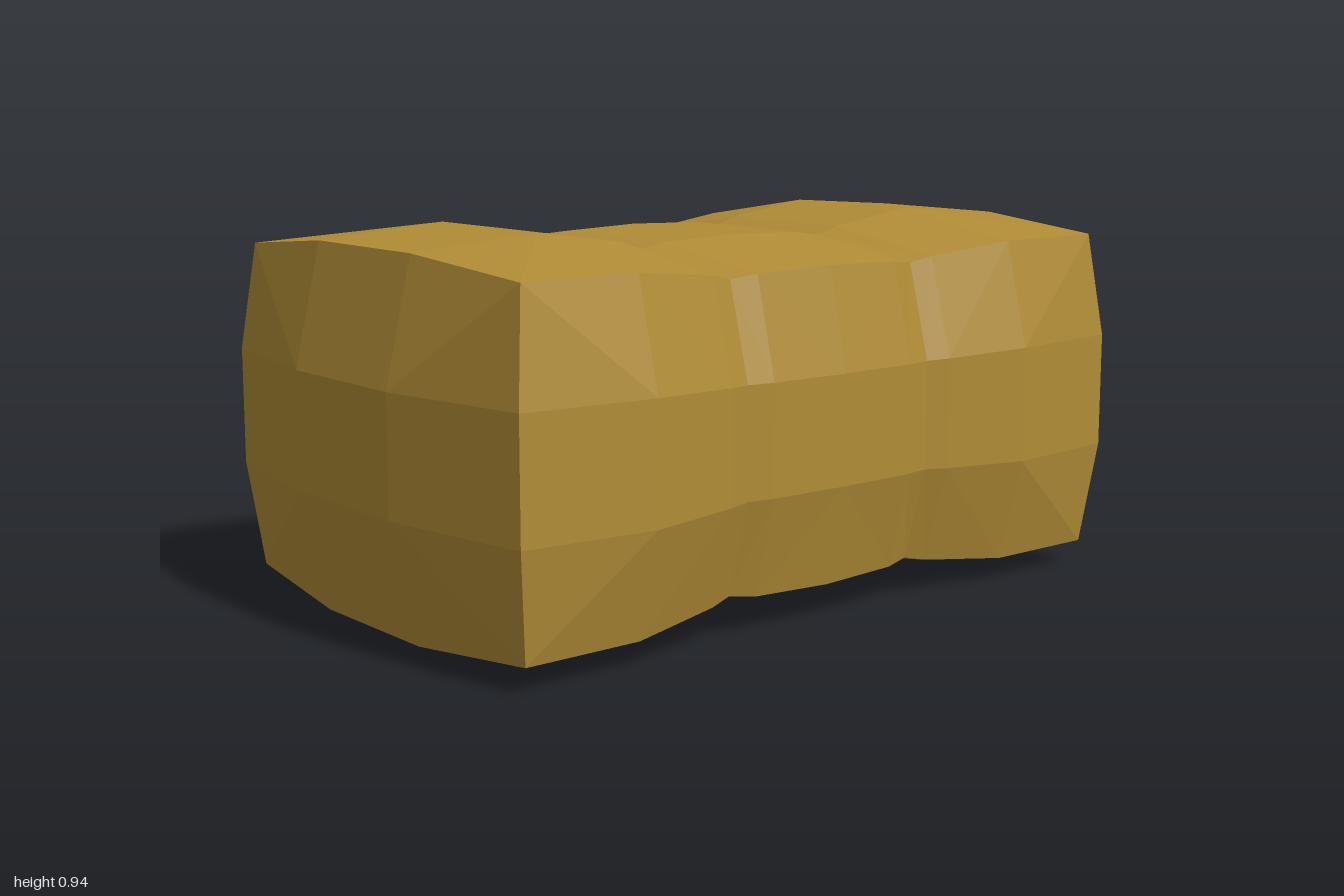
import * as THREE from 'three';

const MID_Y = 0.47; // height of the long axis
const RIB_X = 0.2;  // half width of the flat middle strip

// Half-body stations: corner z, middle z, corner x/y, bulged side x, bulged top y, side strip half height
const STATIONS = [
  [0.90, 0.93, 0.575, 0.41, 0.607, 0.444, 0.145],
  [0.59, 0.59, 0.573, 0.41, 0.64, 0.47, 0.145],
  [0.35, 0.35, 0.538, 0.383, 0.606, 0.435, 0.137],
  [0.29, 0.29, 0.525, 0.37, 0.588, 0.415, 0.135],
  [0.22, 0.22, 0.54, 0.379, 0.6, 0.427, 0.135],
  [0, 0, 0.548, 0.385, 0.606, 0.434, 0.135],
];

// Twelve-point bulged rectangle, counter-clockwise seen from +z
function ring([zc, zm, cx, cy, sx, ty, m], side) {
  const outline = [
    [cx, cy], [RIB_X, ty], [-RIB_X, ty],
    [-cx, cy], [-sx, m], [-sx, -m],
    [-cx, -cy], [-RIB_X, -ty], [RIB_X, -ty],
    [cx, -cy], [sx, -m], [sx, m],
  ];
  return outline.map(([x, y], j) => [x, y + MID_Y, side * (j % 3 === 0 ? zc : zm)]);
}

// Two triangles; splitAC chooses the diagonal
function quad(out, a, b, c, d, splitAC) {
  const tris = splitAC ? [a, b, c, a, c, d] : [a, b, d, b, c, d];
  for (const p of tris) out.push(...p);
}

function toMesh(positions, name, material) {
  const geometry = new THREE.BufferGeometry();
  geometry.setAttribute('position', new THREE.Float32BufferAttribute(positions, 3));
  geometry.computeVertexNormals();
  const mesh = new THREE.Mesh(geometry, material);
  mesh.name = name;
  return mesh;
}

export function createModel() {
  const group = new THREE.Group();
  group.name = 'waistedBlock';
  const material = new THREE.MeshStandardMaterial({ color: 0xb08c36, flatShading: true });

  // Body walls, with two grooves around the middle section
  const rings = [
    ...STATIONS.map((s) => ring(s, 1)),
    ...STATIONS.slice(0, -1).reverse().map((s) => ring(s, -1)),
  ];
  const walls = [];
  for (let i = 0; i < rings.length - 1; i++) {
    const front = i < STATIONS.length - 1;
    for (let j = 0; j < 12; j++) {
      const k = (j + 1) % 12;
      // diagonals run from the block's corners towards the strips
      quad(walls, rings[i][j], rings[i + 1][j], rings[i + 1][k], rings[i][k], (j % 3 === 0) === front);
    }
  }
  group.add(toMesh(walls, 'body', material));

  // Domed end caps: a 3 x 3 grid of faces inside the end ring
  for (const side of [1, -1]) {
    const r = ring(STATIONS[0], side);
    const inner = (sx, sy) => [sx * RIB_X, MID_Y + sy * 0.145, side];
    const grid = [
      [r[3], r[2], r[1], r[0]],
      [r[4], inner(-1, 1), inner(1, 1), r[11]],
      [r[5], inner(-1, -1), inner(1, -1), r[10]],
      [r[6], r[7], r[8], r[9]],
    ];
    const cap = [];
    for (let row = 0; row < 3; row++) {
      for (let col = 0; col < 3; col++) {
        const tl = grid[row][col], tr = grid[row][col + 1];
        const bl = grid[row + 1][col], br = grid[row + 1][col + 1];
        if (side > 0) quad(cap, tl, bl, br, tr, row === col);
        else quad(cap, tl, tr, br, bl, row === col);
      }
    }
    group.add(toMesh(cap, side > 0 ? 'frontCap' : 'backCap', material));
  }
  return group;
}
